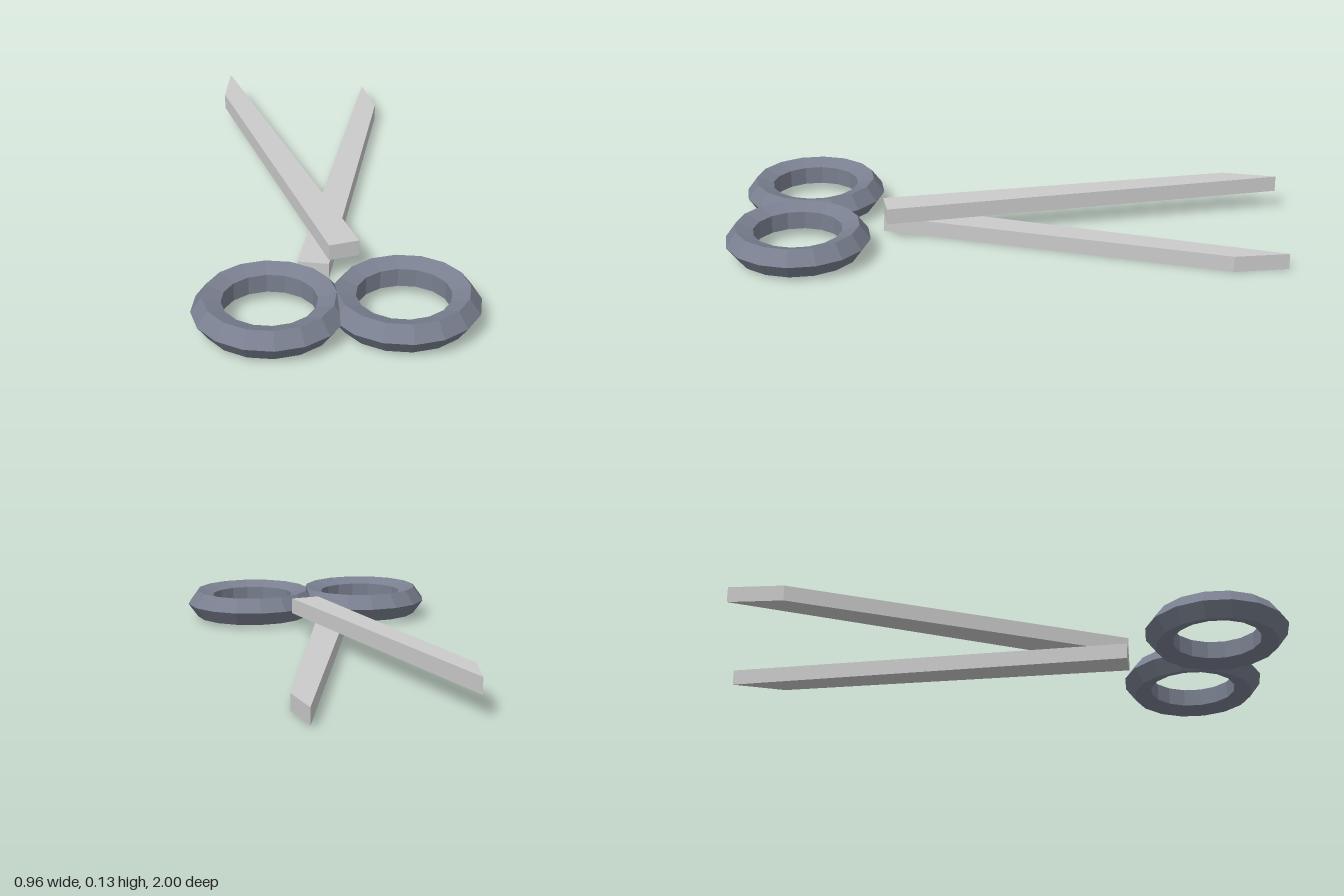
import * as THREE from 'three';

export function createModel() {
  const model = new THREE.Group();
  const steel = new THREE.MeshStandardMaterial({ color: 0xcccccc, flatShading: true });
  const grip = new THREE.MeshStandardMaterial({ color: 0x7a8090, flatShading: true });

  // Blade outline as x, z: tip, shoulder, heel corners
  const outline = [[-0.274, -1], [-0.306, -0.804], [0, 0.458], [0.107, 0.432]];
  const thickness = 0.058;

  function addBlade(name, side, y) {
    const shape = new THREE.Shape(outline.map(([x, z]) => new THREE.Vector2(x * side, -z)));
    const geometry = new THREE.ExtrudeGeometry(shape, { depth: thickness, bevelEnabled: false });
    geometry.rotateX(-Math.PI / 2);
    const blade = new THREE.Mesh(geometry, steel);
    blade.name = name;
    blade.position.y = y;
    model.add(blade);
  }

  // Finger ring with a five-sided section
  function addRing(name, side) {
    const geometry = new THREE.TorusGeometry(0.2045, 0.0555, 5, 16);
    geometry.rotateX(-Math.PI / 2);
    const ring = new THREE.Mesh(geometry, grip);
    ring.name = name;
    ring.position.set(side * 0.222, 0.0655, 0.74);
    model.add(ring);
  }

  // Crossed blades, one above the other with a narrow gap
  addBlade('upperBlade', 1, 0.073);
  addBlade('lowerBlade', -1, 0);

  addRing('leftFingerRing', 1);
  addRing('rightFingerRing', -1);

  return model;
}
